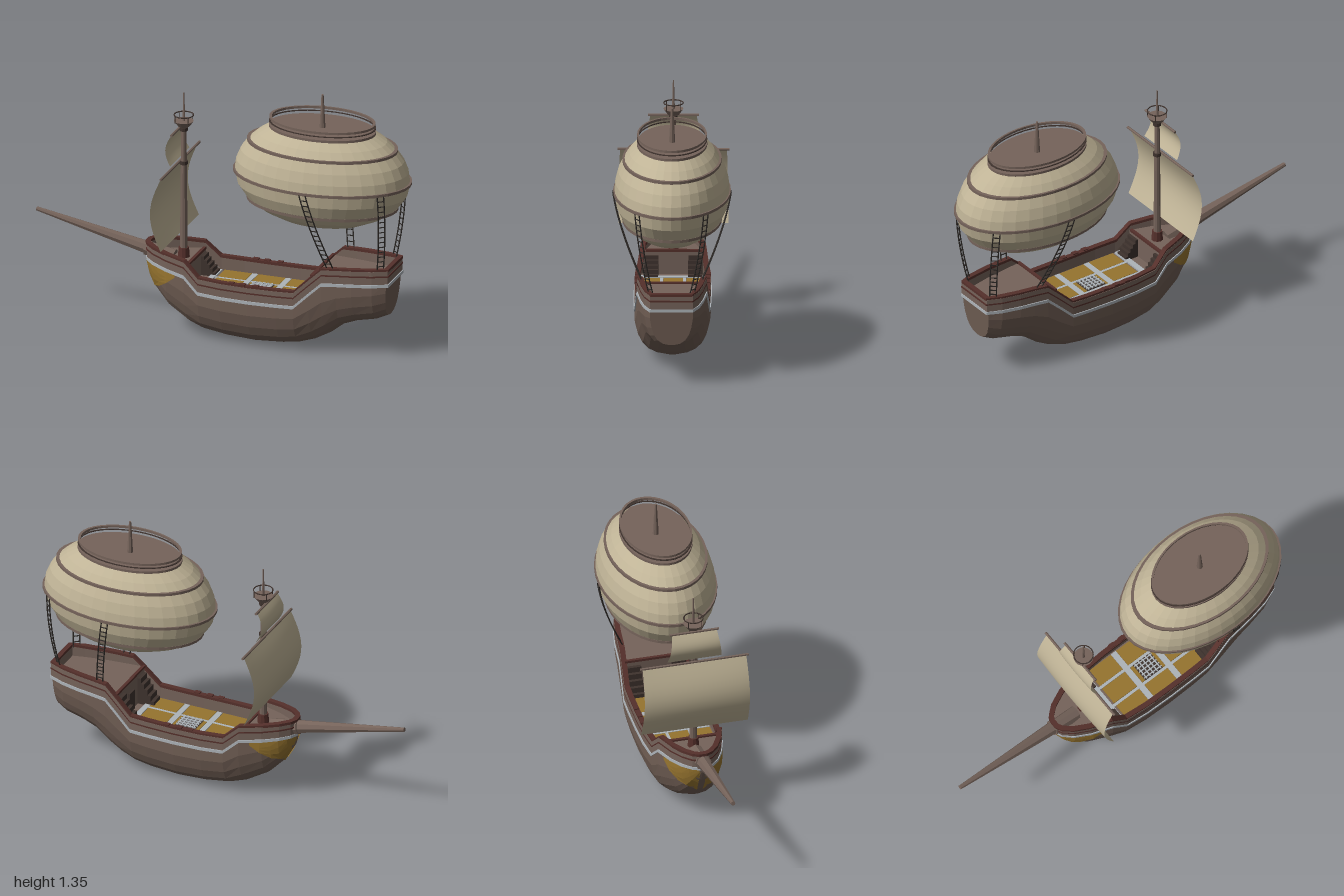
import * as THREE from 'three';

const mat = (color, flat = true) => new THREE.MeshStandardMaterial({ color, flatShading: flat, side: THREE.DoubleSide });
const M = {
  hull: mat(0x6f5d53), wood: mat(0x75635a), dark: mat(0x3f332e), red: mat(0x55302b),
  gold: mat(0x96742f), pale: mat(0xaeb4b9), cloth: mat(0xbfb396), sail: mat(0xbfb396, false), rope: mat(0x2e2a27),
};

// Hull stations from bow to stern: x, keel height, rail height, half width
const ST = [
  [-0.4, 0.33, 0.435, 0.02], [-0.385, 0.28, 0.434, 0.05], [-0.34, 0.2, 0.43, 0.09], [-0.26, 0.115, 0.42, 0.13],
  [-0.15, 0.05, 0.408, 0.165], [-0.07, 0.025, 0.335, 0.18], [0.05, 0.008, 0.33, 0.19], [0.2, 0, 0.328, 0.192],
  [0.35, 0.01, 0.33, 0.19], [0.44, 0.025, 0.333, 0.187], [0.52, 0.05, 0.41, 0.18], [0.585, 0.085, 0.47, 0.174],
  [0.66, 0.145, 0.475, 0.165], [0.74, 0.175, 0.478, 0.155], [0.84, 0.195, 0.482, 0.135], [0.915, 0.22, 0.485, 0.108],
];
// Cross-section: height fraction, width fraction
const SECTION = [[0, 0.1], [0.03, 0.4], [0.1, 0.64], [0.2, 0.8], [0.35, 0.92], [0.55, 1], [0.75, 0.99], [1, 0.95]];

function sample(table, x, col) {
  let i = 0;
  while (i < table.length - 2 && x > table[i + 1][0]) i++;
  const a = table[i], b = table[i + 1];
  return THREE.MathUtils.lerp(a[col], b[col], THREE.MathUtils.clamp((x - a[0]) / (b[0] - a[0]), 0, 1));
}
const keel = x => sample(ST, x, 1), rail = x => sample(ST, x, 2);
const halfWidth = (x, y) => sample(ST, x, 3) * sample(SECTION, (y - keel(x)) / (rail(x) - keel(x)), 1);

// Skin over rows of points, optionally closed along and around
function loft(rows, closeRows = false, closeCols = false) {
  const n = rows[0].length, index = [];
  const rEnd = closeRows ? rows.length : rows.length - 1, cEnd = closeCols ? n : n - 1;
  for (let r = 0; r < rEnd; r++) for (let c = 0; c < cEnd; c++) {
    const r2 = (r + 1) % rows.length, c2 = (c + 1) % n;
    const a = r * n + c, b = r * n + c2, d = r2 * n + c, e = r2 * n + c2;
    index.push(a, b, d, b, e, d);
  }
  const g = new THREE.BufferGeometry();
  g.setAttribute('position', new THREE.Float32BufferAttribute(rows.flat(2), 3));
  g.setIndex(index);
  g.computeVertexNormals();
  return g;
}

export function createModel() {
  const model = new THREE.Group();
  const add = (name, geo, material, x = 0, y = 0, z = 0, parent = model) => {
    const m = new THREE.Mesh(geo, material);
    m.name = name;
    m.position.set(x, y, z);
    parent.add(m);
    return m;
  };
  const box = (name, w, h, d, material, x, y, z) => add(name, new THREE.BoxGeometry(w, h, d), material, x, y, z);
  const cyl = (name, r1, r2, h, material, x, y, z, sides = 10) =>
    add(name, new THREE.CylinderGeometry(r1, r2, h, sides), material, x, y, z);
  const spar = (name, a, b, r1, r2, material, sides = 8, parent = model) => {
    const A = new THREE.Vector3(...a), B = new THREE.Vector3(...b), d = B.clone().sub(A);
    const m = add(name, new THREE.CylinderGeometry(r2, r1, d.length(), sides), material, 0, 0, 0, parent);
    m.position.copy(A).add(B).multiplyScalar(0.5);
    m.quaternion.setFromUnitVectors(new THREE.Vector3(0, 1, 0), d.normalize());
    return m;
  };

  // Hull shell with closed transom
  const ribs = ST.map(([x, k, r, w]) => {
    const side = SECTION.map(([t, f]) => [x - (x > 0.9 ? (1 - t) * 0.02 : 0), k + (r - k) * t, w * f]);
    return [...side.slice().reverse(), ...side.map(([a, b, c]) => [a, b, -c])];
  });
  add('hull', loft(ribs), M.hull);
  for (const [name, rib] of [['transom', ribs[ribs.length - 1]], ['stem', ribs[0]]]) {
    const half = rib.length / 2;
    add(name, loft([rib.slice(0, half), rib.slice(half).reverse()]), M.hull);
  }

  // Strips that run around the hull at a height below the rail
  const strip = (name, drop, height, out, inn, material) => {
    const side = ST.map(([x, , r]) => [x, r - drop, halfWidth(x, r - drop)]);
    const path = [...side, ...side.map(([x, y, z]) => [x, y, -z]).reverse()];
    const rows = path.map(([x, y, z], i) => {
      const p = path[(i + path.length - 1) % path.length], q = path[(i + 1) % path.length];
      const l = Math.hypot(q[0] - p[0], q[2] - p[2]), nx = -(q[2] - p[2]) / l, nz = (q[0] - p[0]) / l;
      return [[out, 0], [out, height], [-inn, height], [-inn, 0]].map(([o, h]) => [x + nx * o, y + h, z + nz * o]);
    });
    add(name, loft(rows, true, true), material);
  };
  strip('bulwark', 0.07, 0.07, 0.002, 0.016, M.wood);
  strip('railCap', 0.004, 0.014, 0.006, 0.02, M.red);
  strip('railMoulding', 0.032, 0.008, 0.006, 0, M.red);
  strip('paleTrim', 0.085, 0.016, 0.006, 0, M.pale);

  // Gilded plates on both bows
  const edge = [[-0.4, 0.335], [-0.37, 0.255], [-0.335, 0.192], [-0.3, 0.24], [-0.25, 0.275], [-0.2, 0.315]];
  for (const s of [1, -1]) {
    const rows = edge.map(([x, low]) => [0, 0.25, 0.5, 0.75, 1].map(t => {
      const y = low + (rail(x) - 0.085 - low) * t;
      return [x - 0.004, y, s * (halfWidth(x, y) + 0.005)];
    }));
    add('bowPlate', loft(rows), M.gold);
  }

  // Decks and bulkheads
  const deck = (name, x0, x1, y) => {
    const xs = [x0, ...ST.map(s => s[0]).filter(x => x > x0 && x < x1), x1];
    add(name, loft(xs.map(x => [[x, y, halfWidth(x, y) * 0.97], [x, y, -halfWidth(x, y) * 0.97]])), M.wood);
  };
  deck('foreDeck', -0.395, -0.15, 0.375);
  deck('mainDeck', -0.15, 0.53, 0.255);
  deck('aftDeck', 0.53, 0.91, 0.425);
  box('foreBulkhead', 0.012, 0.12, 0.3, M.wood, -0.152, 0.315, 0);
  box('aftBulkhead', 0.012, 0.17, 0.33, M.wood, 0.532, 0.34, 0);
  box('cabinDoor', 0.012, 0.11, 0.06, M.dark, 0.522, 0.31, 0);
  box('foreDeckEdge', 0.016, 0.012, 0.28, M.red, -0.15, 0.378, 0);
  box('aftDeckEdge', 0.016, 0.012, 0.32, M.red, 0.53, 0.428, 0);

  // Deck planking, cross beams and grating
  for (const z of [-0.115, 0, 0.115])
    for (const x of [0.02, 0.2, 0.38]) box('deckPanel', 0.145, 0.008, 0.098, M.gold, x, 0.26, z);
  for (const x of [-0.08, 0.11, 0.29, 0.47]) box('deckBeam', 0.03, 0.009, 0.33, M.pale, x, 0.26, 0);
  for (const z of [-0.058, 0.058]) box('deckSeam', 0.56, 0.007, 0.015, M.pale, 0.19, 0.26, z);
  box('gratingBase', 0.11, 0.012, 0.1, M.dark, 0.2, 0.262, 0);
  for (let i = -2; i <= 2; i++) {
    box('gratingBar', 0.11, 0.008, 0.006, M.pale, 0.2, 0.27, i * 0.02);
    box('gratingBar', 0.006, 0.008, 0.1, M.pale, 0.2 + i * 0.022, 0.27, 0);
  }

  // Stairs to the raised decks
  for (const s of [1, -1]) for (let i = 0; i < 5; i++) {
    const hF = 0.1 - i * 0.02, hA = 0.145 - i * 0.029;
    box('foreStep', 0.015, hF, 0.07, M.dark, -0.138 + i * 0.015, 0.255 + hF / 2, s * 0.11);
    box('aftStep', 0.018, hA, 0.07, M.dark, 0.517 - i * 0.018, 0.255 + hA / 2, s * 0.115);
  }
  // Cleats on the waist rail
  for (const s of [1, -1]) for (const x of [0.11, 0.17, 0.24])
    box('cleat', 0.03, 0.012, 0.024, M.red, x, 0.338, s * 0.178);

  // Bowsprit
  spar('bowsprit', [-0.26, 0.365, 0], [-0.995, 0.525, 0], 0.04, 0.011, M.wood);
  spar('bowspritCollar', [-0.385, 0.392, 0], [-0.41, 0.397, 0], 0.042, 0.041, M.wood);

  // Mast with crow's nest
  const mx = -0.21;
  cyl('mastFoot', 0.026, 0.03, 0.05, M.red, mx, 0.4, 0);
  cyl('mast', 0.013, 0.02, 0.72, M.wood, mx, 0.735, 0);
  cyl('mastTop', 0.003, 0.008, 0.17, M.wood, mx, 1.17, 0, 8);
  for (const y of [0.88, 1.06]) cyl('mastCollar', 0.021, 0.021, 0.018, M.dark, mx, y, 0);
  cyl('crowsNest', 0.05, 0.03, 0.028, M.wood, mx, 1.09, 0, 16);
  const ring = add('crowsNestRail', new THREE.TorusGeometry(0.049, 0.003, 6, 20), M.dark, mx, 1.135, 0);
  ring.rotation.x = Math.PI / 2;
  for (let i = 0; i < 4; i++) {
    const a = (i + 0.5) * Math.PI / 2;
    cyl('crowsNestPost', 0.002, 0.002, 0.04, M.dark, mx + 0.049 * Math.cos(a), 1.117, 0.049 * Math.sin(a), 5);
  }

  // Billowing sails on yards
  const sail = (name, yTop, yBottom, topHalf, bottomHalf, belly) => {
    const rows = [];
    for (let i = 0; i <= 12; i++) {
      const t = i / 12, w = THREE.MathUtils.lerp(topHalf, bottomHalf, t);
      rows.push(Array.from({ length: 13 }, (_, j) => {
        const u = j / 6 - 1, bow = Math.sin(Math.PI * t);
        return [mx - 0.022 - belly * bow * (1 - 0.12 * u * u), THREE.MathUtils.lerp(yTop, yBottom, t), u * w];
      }));
    }
    add(name, loft(rows), M.sail);
    spar(name + 'Yard', [mx - 0.02, yTop, -topHalf - 0.012], [mx - 0.02, yTop, topHalf + 0.012], 0.007, 0.007, M.wood, 6);
  };
  sail('mainSail', 0.885, 0.495, 0.268, 0.276, 0.066);
  sail('topSail', 1.065, 0.905, 0.115, 0.14, 0.034);

  // Balloon: lathed envelope stretched along the ship
  const balloon = new THREE.Group();
  balloon.name = 'balloon';
  balloon.position.set(0.53, 0, 0);
  model.add(balloon);
  const cy = 0.912;
  const radiusAt = y => Math.sqrt(Math.max(0, 1 - ((y - cy) / (y > cy ? 0.31 : 0.262)) ** 2));
  const oval = (name, pts, material) => {
    const g = new THREE.LatheGeometry(pts.map(p => new THREE.Vector2(...p)), 36);
    g.scale(0.457, 1, 0.289);
    return add(name, g, material, 0, 0, 0, balloon);
  };
  const profile = [];
  for (let i = 0; i <= 6; i++) {
    const a = (i / 6 - 1) * Math.PI / 2;
    profile.push([Math.cos(a), cy + 0.262 * Math.sin(a)]);
  }
  for (let i = 1; i <= 5; i++) {
    const y = cy + 0.31 * Math.sin(i / 5 * 0.928);
    profile.push([radiusAt(y), y]);
  }
  oval('envelope', profile, M.cloth);
  const band = (name, y, r, h, inner, material) =>
    oval(name, [[r - inner, y - h], [r + 0.02, y - h], [r + 0.02, y + h], [r - inner, y + h], [r - inner, y - h]], material);
  for (const y of [0.772, 0.914, 1.08]) band('envelopeBand', y, radiusAt(y), 0.007, 0.03, M.wood);
  oval('topPlatform', [[0.59, 1.15], [0.61, 1.155], [0.61, 1.17], [0, 1.17]], M.wood);
  band('topRailLower', 1.187, 0.59, 0.002, 0, M.dark);
  band('topRail', 1.207, 0.585, 0.006, 0.01, M.wood);
  add('topSpike', new THREE.CylinderGeometry(0.006, 0.016, 0.18, 8), M.wood, 0, 1.255, 0, balloon);

  // Rope ladders between balloon and stern
  const ladder = (top, mid, bottom, across) => {
    const g = new THREE.Group();
    g.name = 'ropeLadder';
    model.add(g);
    const curve = new THREE.QuadraticBezierCurve3(...[top, mid, bottom].map(p => new THREE.Vector3(...p)));
    const off = new THREE.Vector3(...across).normalize().multiplyScalar(0.017);
    const pts = curve.getSpacedPoints(15);
    for (const k of [1, -1]) {
      const path = new THREE.CatmullRomCurve3(pts.map(p => p.clone().addScaledVector(off, k)));
      add('ladderRope', new THREE.TubeGeometry(path, 20, 0.0035, 5), M.rope, 0, 0, 0, g);
    }
    for (const p of pts.slice(1, -1))
      spar('ladderRung', p.clone().add(off).toArray(), p.clone().sub(off).toArray(), 0.003, 0.003, M.rope, 5, g);
  };
  for (const s of [1, -1]) {
    ladder([0.53, 0.91, s * 0.296], [0.565, 0.73, s * 0.268], [0.625, 0.48, s * 0.152], [1, 0, 0]);
    ladder([0.902, 0.91, s * 0.172], [0.91, 0.7, s * 0.155], [0.875, 0.48, s * 0.102], [-0.76, 0, s * 0.65]);
  }
  return model;
}
